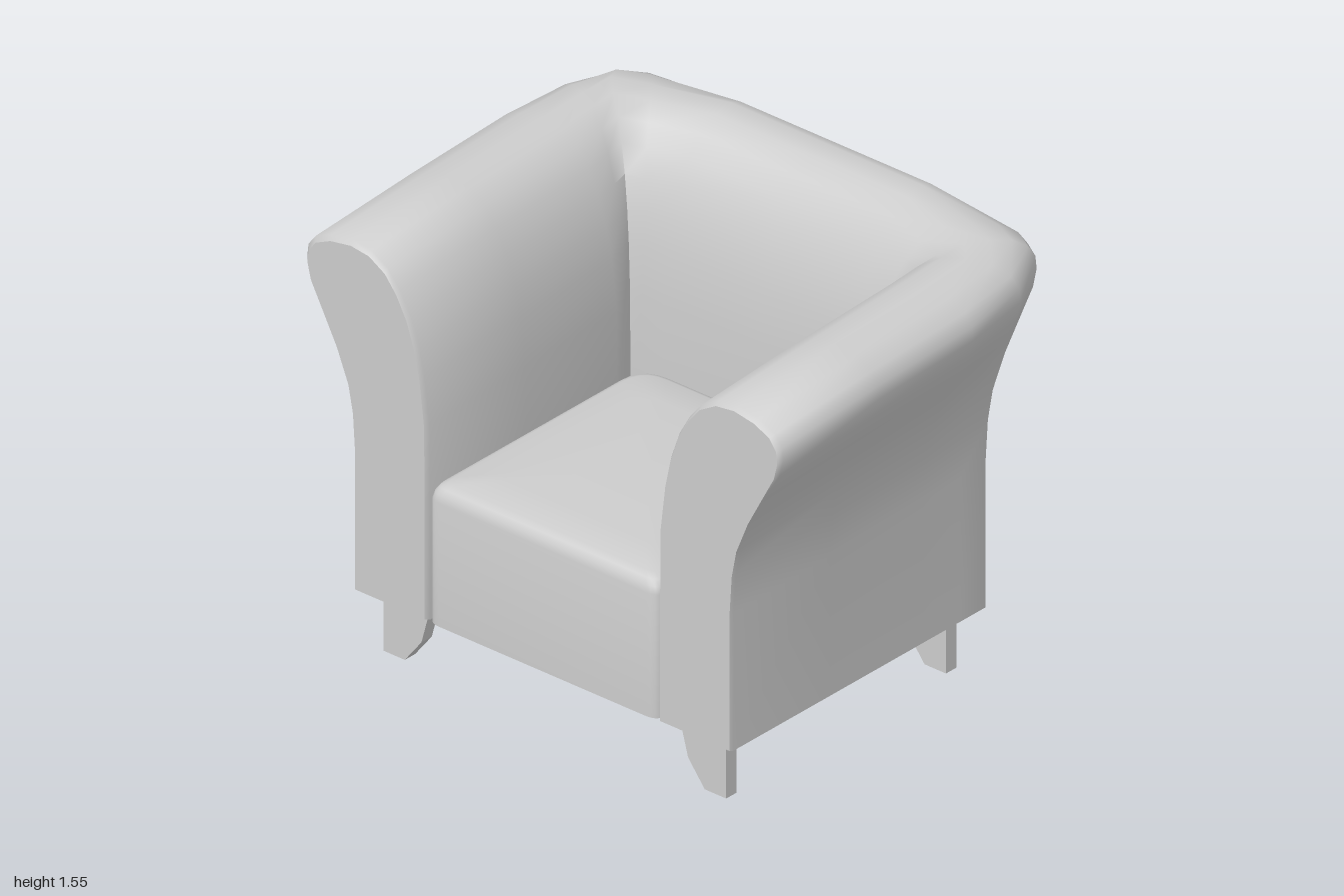
import * as THREE from 'three';
import { toCreasedNormals } from 'three/addons/utils/BufferGeometryUtils.js';

const grey = new THREE.MeshStandardMaterial({ color: 0xcccccc });
const greyOpen = new THREE.MeshStandardMaterial({ color: 0xcccccc, side: THREE.DoubleSide });

// Skin a list of closed rings of Vector3 (all the same length)
function loft(rings, crease) {
  const n = rings[0].length, idx = [];
  for (let i = 0; i < rings.length - 1; i++) {
    for (let j = 0; j < n; j++) {
      const k = (j + 1) % n;
      const a = i * n + j, b = i * n + k, c = (i + 1) * n + k, d = (i + 1) * n + j;
      idx.push(a, b, d, b, c, d);
    }
  }
  const g = new THREE.BufferGeometry().setFromPoints(rings.flat());
  g.setIndex(idx);
  return toCreasedNormals(g, crease);
}

function add(group, name, geometry, material = grey) {
  const mesh = new THREE.Mesh(geometry, material);
  mesh.name = name;
  group.add(mesh);
  return mesh;
}

const BASE = 0.22;

// Arm section [x, y]: up the inner face, over the roll, down the outer face
const section = [
  [0.485, 0.22], [0.485, 0.6], [0.487, 0.93], [0.508, 1.1], [0.53, 1.2], [0.565, 1.3],
  [0.61, 1.38], [0.66, 1.44], [0.73, 1.48], [0.81, 1.49], [0.9, 1.475], [0.965, 1.445],
  [0.995, 1.405], [1.0, 1.36], [0.985, 1.3], [0.93, 1.2], [0.87, 1.09], [0.82, 0.97],
  [0.8, 0.87], [0.79, 0.72], [0.79, 0.22],
];

// Stations from arm front to middle of back:
// inner foot x,z | outer foot x,z | outer roll x,z | top height
const stations = [
  [0.485, 0.715, 0.79, 0.715, 1.0, 0.715, 1.485],
  [0.485, 0.25, 0.79, 0.25, 1.0, 0.25, 1.515],
  [0.487, -0.19, 0.79, -0.2, 1.0, -0.2, 1.535],
  [0.497, -0.24, 0.79, -0.38, 0.965, -0.47, 1.548],
  [0.51, -0.28, 0.79, -0.5, 0.87, -0.655, 1.555],
  [0.47, -0.292, 0.65, -0.55, 0.8, -0.7, 1.555],
  [0.4, -0.31, 0.4, -0.63, 0.4, -0.735, 1.555],
  [0, -0.31, 0, -0.63, 0, -0.735, 1.555],
];

function stationRing([ix, iz, ox, oz, tx, tz, top]) {
  const mix = THREE.MathUtils.lerp;
  return section.map(([x, y]) => {
    const u = (x - 0.485) / 0.305, v = (x - 0.79) / 0.21;
    const h = BASE + (y - BASE) * (top - BASE) / (1.49 - BASE);
    return x <= 0.79
      ? new THREE.Vector3(mix(ix, ox, u), h, mix(iz, oz, u))
      : new THREE.Vector3(mix(ox, tx, v), h, mix(oz, tz, v));
  });
}

const mirrorRing = ring => ring.map(p => new THREE.Vector3(-p.x, p.y, p.z)); 

function buildBody(group) {
  const half = stations.map(stationRing);
  // Slightly shrunken front ring softens the edge of the arm front
  const front = half[0].map(p => new THREE.Vector3(
    0.7 + (p.x - 0.7) * 0.955, BASE + 0.004 + (p.y - BASE) * 0.985, 0.73));
  half.unshift(front);
  const other = half.slice(0, -1).reverse().map(mirrorRing);
  add(group, 'armsAndBack', loft([...half, ...other], 1.25));

  for (const s of [1, -1]) {
    const shape = new THREE.Shape(front.map(p => new THREE.Vector2(s * p.x, p.y)));
    add(group, s > 0 ? 'leftArmFront' : 'rightArmFront', new THREE.ShapeGeometry(shape))
      .position.z = 0.73;
  }
}

// Hollow seat block, open underneath, with a softly domed top
function buildSeat(group) {
  const w = 0.485, f = -0.73, b = 0.31, rf = 0.05, rb = 0.11;
  const s = new THREE.Shape();
  s.moveTo(-w + rf, f);
  s.lineTo(w - rf, f);
  s.quadraticCurveTo(w, f, w, f + rf);
  s.lineTo(w, b - rb);
  s.quadraticCurveTo(w, b, w - rb, b);
  s.lineTo(-w + rb, b);
  s.quadraticCurveTo(-w, b, -w, b - rb);
  s.lineTo(-w, f + rf);
  s.quadraticCurveTo(-w, f, -w + rf, f);
  const outline = s.getPoints(5).slice(0, -1);
  // [height, inset]
  const levels = [[0.22, 0], [0.67, 0], [0.695, 0.006], [0.713, 0.018], [0.724, 0.04],
    [0.732, 0.16], [0.737, 0.32], [0.74, 0.485]];
  const rings = levels.map(([y, inset]) => outline.map(p => new THREE.Vector3(
    p.x * (1 - inset / w), y, 0.21 + (-p.y - 0.21) * (1 - inset / w))));
  add(group, 'seat', loft(rings, 1.25), greyOpen);
}

// Flat polygon given thickness
function slab(points, depth) {
  const shape = new THREE.Shape(points.map(p => new THREE.Vector2(...p)));
  return new THREE.ExtrudeGeometry(shape, { depth, bevelEnabled: false });
}

function buildBase(group) {
  const leg = [[0.63, 0], [0.72, 0], [0.72, 0.2], [0.53, 0.2], [0.56, 0.09]];
  // Plan of the base rail as [x, -z]
  const rail = [[0.53, -0.68], [0.745, -0.68], [0.745, 0.48], [0.39, 0.56], [0.39, 0.37], [0.53, 0.33]];
  for (const s of [1, -1]) {
    const side = s > 0 ? 'left' : 'right';
    const flip = pts => pts.map(([x, y]) => [s * x, y]);
    add(group, side + 'FrontLeg', slab(flip(leg), 0.05)).position.z = 0.62;
    add(group, side + 'BackLeg', slab(flip(leg), 0.05)).position.z = -0.44;
    const r = add(group, side + 'BaseRail', slab(flip(rail), 0.021));
    r.rotation.x = -Math.PI / 2;
    r.position.y = 0.2;
  }
}

export function createModel() {
  const group = new THREE.Group();
  group.name = 'armchair';
  buildBody(group);
  buildSeat(group);
  buildBase(group);
  return group;
}
